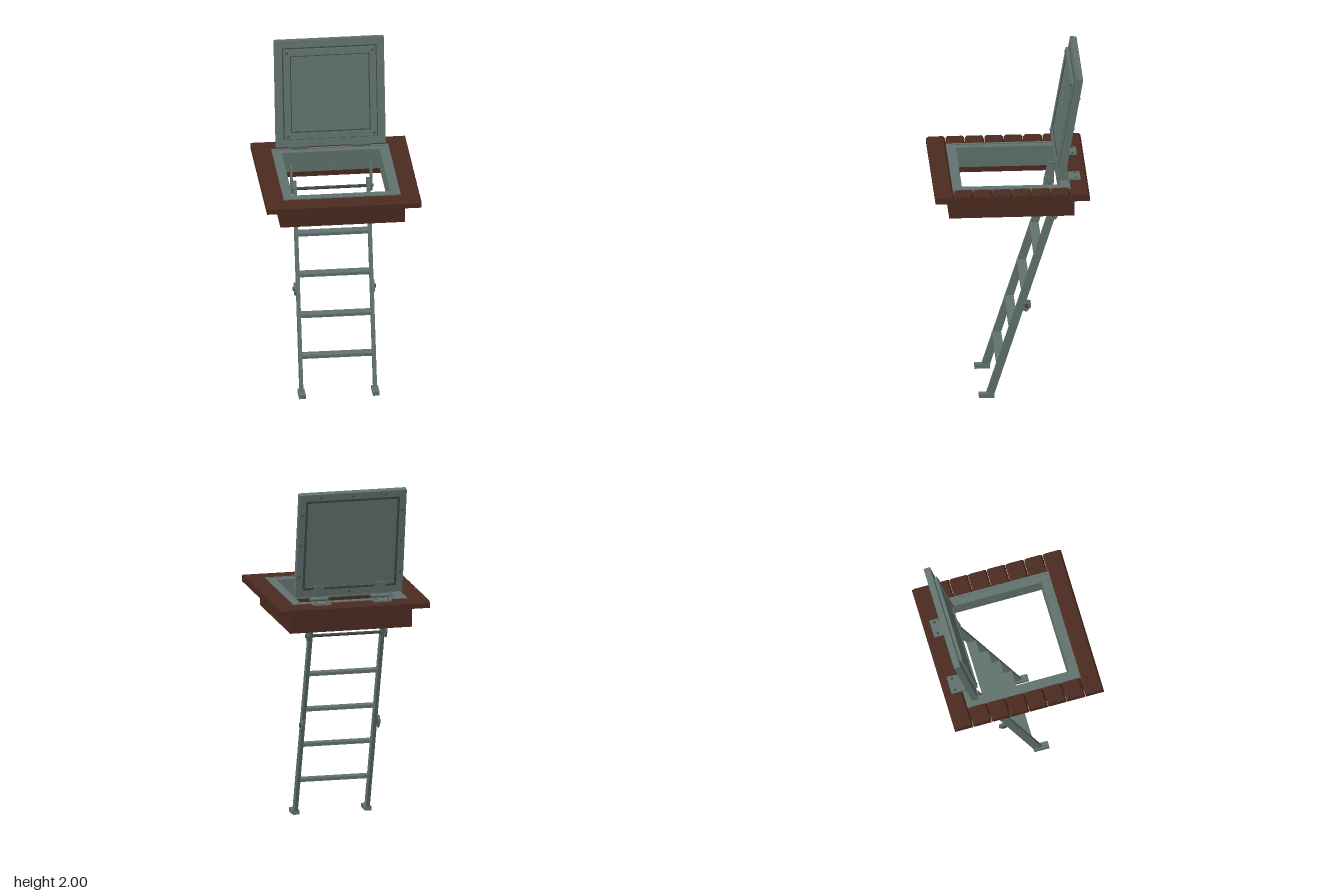
import * as THREE from 'three';

const mat = (name, color) => {
  const m = new THREE.MeshStandardMaterial({ color });
  m.name = name;
  return m;
};

export function createModel() {
  const steel = mat('grey green steel', 0x62736f);
  const darkSteel = mat('dark steel', 0x3f4a49);
  const wood = mat('brown wood', 0x4c2b20);
  const model = new THREE.Group();

  const add = (parent, name, geo, material, x = 0, y = 0, z = 0) => {
    const m = new THREE.Mesh(geo, material);
    m.name = name;
    m.position.set(x, y, z);
    parent.add(m);
    return m;
  };
  const box = (parent, name, material, w, h, d, x, y, z) =>
    add(parent, name, new THREE.BoxGeometry(w, h, d), material, x, y, z);
  const group = (parent, name) => {
    const g = new THREE.Group();
    g.name = name;
    parent.add(g);
    return g;
  };
  // Square ring, given by half sizes, extruded along +z
  const ring = (outer, inner, depth) => {
    const square = (s, C) => new C([[-s, -s], [s, -s], [s, s], [-s, s]].map(p => new THREE.Vector2(...p)));
    const shape = square(outer, THREE.Shape);
    shape.holes.push(square(inner, THREE.Path));
    return new THREE.ExtrudeGeometry(shape, { depth, bevelEnabled: false });
  };
  const flatRing = (outer, inner, depth) => ring(outer, inner, depth).rotateX(-Math.PI / 2);
  // Small domed screw head facing +z
  const screwGeo = new THREE.CylinderGeometry(0.004, 0.008, 0.006, 8).rotateX(Math.PI / 2);

  // Deck planks with chamfered upper edges
  const deck = group(model, 'deck');
  const plank = (x0, x1, z) => {
    const w = 0.053, t = 0.04, c = 0.011;
    const s = new THREE.Shape([[-w, 0], [w, 0], [w, t - c], [w - c, t], [-w + c, t], [-w, t - c]]
      .map(p => new THREE.Vector2(...p)));
    const geo = new THREE.ExtrudeGeometry(s, { depth: x1 - x0, bevelEnabled: false }).rotateY(Math.PI / 2);
    add(deck, 'plank', geo, wood, x0, 1.3, z);
  };
  for (let i = 0; i < 8; i++) {
    const z = -0.387 + i * 0.1106;
    if (i === 0 || i === 7) plank(-0.442, 0.442, z);
    else {
      plank(-0.442, -0.336, z);
      plank(0.336, 0.442, z);
    }
  }
  add(deck, 'woodenFrame', flatRing(0.357, 0.3, 0.125), wood, 0, 1.175, 0);

  // Metal liner of the opening, with a stepped flange
  const liner = group(model, 'hatchLiner');
  add(liner, 'linerWall', flatRing(0.3, 0.28, 0.12), steel, 0, 1.215, 0);
  add(liner, 'linerFlange', flatRing(0.335, 0.28, 0.035), steel, 0, 1.302, 0);
  add(liner, 'linerLip', flatRing(0.335, 0.32, 0.004), steel, 0, 1.337, 0);
  for (let side = 0; side < 4; side++) {
    const wall = group(liner, 'linerScrews');
    wall.rotation.y = side * Math.PI / 2;
    for (const x of [-0.16, 0, 0.16]) add(wall, 'screw', screwGeo, steel, x, 1.265, -0.277);
  }

  // Open lid, leaning back
  const lid = group(model, 'lid');
  lid.position.set(0, 1.687, -0.338);
  lid.rotation.x = -0.172;
  add(lid, 'lidFrame', ring(0.314, 0.265, 0.037), steel, 0, 0, -0.0185);
  box(lid, 'lidPanel', steel, 0.53, 0.53, 0.026, 0, 0, 0.0055);
  add(lid, 'lidBackLip', ring(0.275, 0.262, 0.003), darkSteel, 0, 0, -0.0205);
  add(lid, 'gasket', ring(0.271, 0.263, 0.003), darkSteel, 0, 0, 0.0175);
  add(lid, 'insetFrame', ring(0.264, 0.228, 0.02), steel, 0, 0, 0.0185);
  add(lid, 'insetSeam', ring(0.229, 0.222, 0.015), darkSteel, 0, 0, 0.0185);
  box(lid, 'insetPanel', steel, 0.445, 0.445, 0.012, 0, 0, 0.0235);
  for (const x of [-0.246, 0.246]) for (const y of [-0.246, 0.246])
    add(lid, 'insetScrew', screwGeo, darkSteel, x, y, 0.041);
  for (let side = 0; side < 4; side++) {
    const edge = group(lid, 'lidScrews');
    edge.rotation.z = side * Math.PI / 2;
    for (const x of [-0.19, 0, 0.19])
      add(edge, 'screw', screwGeo.clone().rotateY(Math.PI), darkSteel, x, 0.294, -0.021);
  }

  // Lid hinges
  for (const s of [-1, 1]) {
    const hinge = group(model, 'lidHinge');
    hinge.position.x = s * 0.178;
    box(hinge, 'deckLeaf', steel, 0.105, 0.009, 0.09, 0, 1.3445, -0.355);
    add(hinge, 'knuckle', new THREE.CylinderGeometry(0.013, 0.013, 0.105, 12).rotateZ(Math.PI / 2),
      steel, 0, 1.359, -0.318);
    const leaf = box(hinge, 'lidLeaf', steel, 0.06, 0.085, 0.008, 0, 1.4, -0.318);
    leaf.rotation.x = -0.172;
    for (const x of [-0.035, 0.035])
      add(hinge, 'screw', screwGeo.clone().rotateX(-Math.PI / 2), darkSteel, x, 1.351, -0.375);
  }

  // Ladder: stiles lean back, treads stay level
  const ladder = group(model, 'ladder');
  const zAt = y => 0.122 - 0.318 * y;
  const lean = -Math.atan(0.318);
  for (const s of [-1, 1]) {
    const stile = box(ladder, 'stile', steel, 0.02, 1.21, 0.046, s * 0.211, 0.595, zAt(0.595));
    stile.rotation.x = lean;
    box(ladder, 'foot', steel, 0.038, 0.025, 0.088, s * 0.211, 0.0125, 0.135);

    // Folding joint halfway up
    const joint = group(ladder, 'foldingJoint');
    joint.position.set(s * 0.225, 0.567, -0.091);
    joint.rotation.x = lean;
    const plate = new THREE.CylinderGeometry(0.04, 0.04, 0.01, 6).rotateZ(Math.PI / 2).scale(1, 1, 0.7);
    add(joint, 'jointPlate', plate, steel);
    add(joint, 'jointBolt', new THREE.CylinderGeometry(0.012, 0.012, 0.018, 10).rotateZ(Math.PI / 2),
      darkSteel, s * 0.003, 0, 0);

    // Bracket hanging the ladder from the liner
    const outline = new THREE.Shape([[-0.215, 1.14], [-0.23, 1.1], [-0.26, 1.1], [-0.275, 1.13],
      [-0.28, 1.26], [-0.24, 1.26]].map(([z, y]) => new THREE.Vector2(-z, y)));
    const bracket = new THREE.ExtrudeGeometry(outline, { depth: 0.01, bevelEnabled: false }).rotateY(Math.PI / 2);
    add(ladder, 'topBracket', bracket, steel, s * 0.228 - 0.005, 0, 0);
  }
  for (let i = 0; i < 4; i++) {
    const y = 0.215 + i * 0.2235;
    box(ladder, 'tread', steel, 0.404, 0.018, 0.054, 0, y, zAt(y));
  }
  add(ladder, 'topRod', new THREE.CylinderGeometry(0.009, 0.009, 0.48, 12).rotateZ(Math.PI / 2),
    darkSteel, 0, 1.127, -0.243);

  return model;
}
